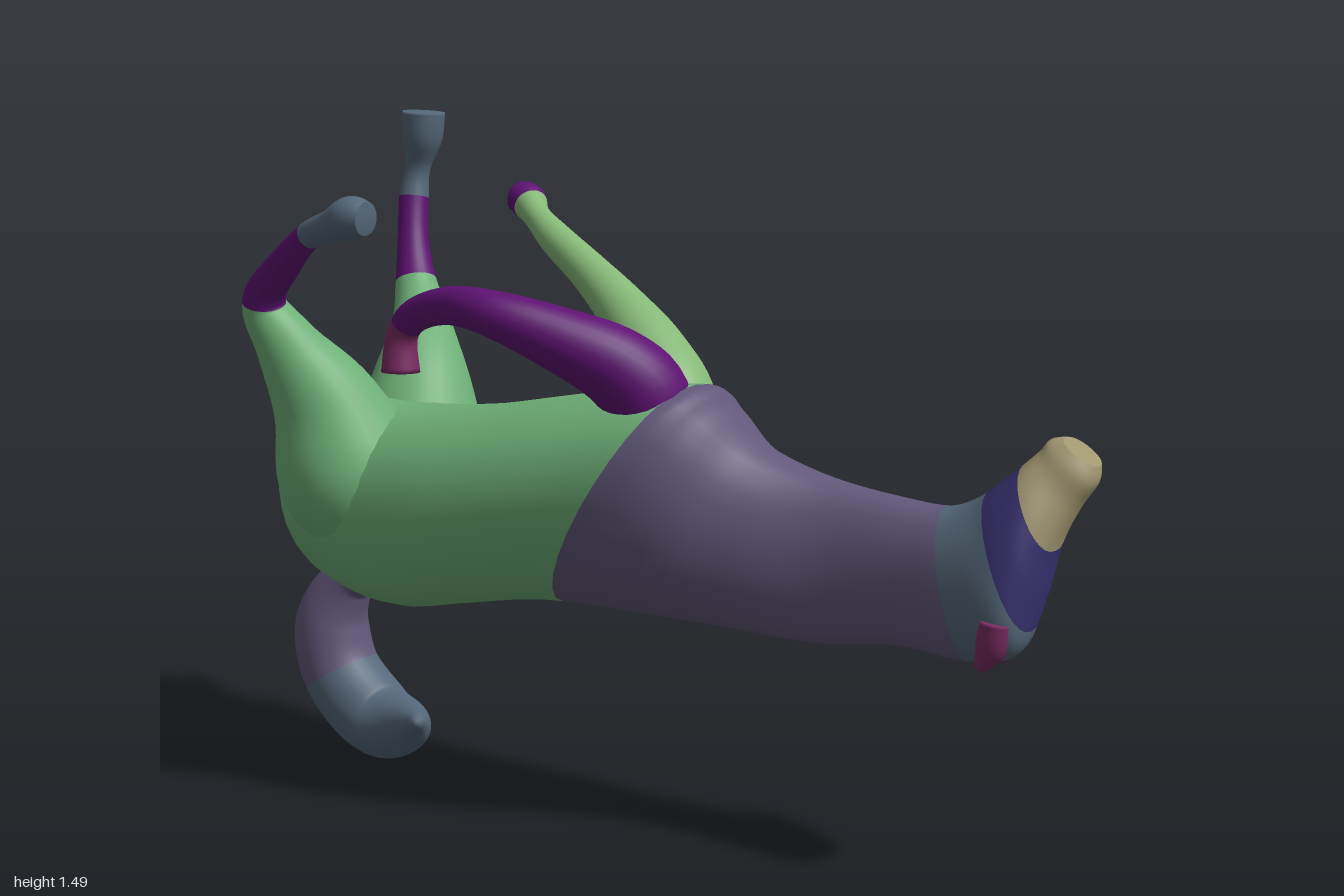
import * as THREE from 'three';

const GREEN = 0x6fb078, MOSS = 0x86b878, VIOLET = 0x62587a, PURPLE = 0x5e1272;
const SLATE = 0x55687a, TAN = 0xa09670, NAVY = 0x38306e, PLUM = 0x7a2c62;
const SIDES = 28, STEPS = 6;

// Catmull-Rom through rows of numbers, STEPS rows per span
function smooth(rows) {
  const out = [], n = rows.length - 1;
  for (let k = 0; k <= n * STEPS; k++) {
    const i = Math.min(Math.floor(k / STEPS), n - 1), t = k / STEPS - i;
    const a = rows[Math.max(i - 1, 0)], b = rows[i], c = rows[i + 1], d = rows[Math.min(i + 2, n)];
    out.push(b.map((v, j) => 0.5 * (2 * v + (c[j] - a[j]) * t
      + (2 * a[j] - 5 * v + 4 * c[j] - d[j]) * t * t
      + (3 * v - a[j] - 3 * c[j] + d[j]) * t * t * t)));
  }
  return out;
}

// Skin a list of rings and split it into named pieces: [name, colour, last span]
function skin(group, rings, pieces) {
  const pos = [], index = [], last = rings.length - 1;
  const centre = r => r.reduce((s, p) => s.add(p), new THREE.Vector3()).divideScalar(SIDES);
  for (const r of rings) for (const p of r) pos.push(p.x, p.y, p.z);
  for (const r of [rings[0], rings[last]]) { const c = centre(r); pos.push(c.x, c.y, c.z); }
  const tip = rings.length * SIDES;
  const next = j => (j + 1) % SIDES;
  for (let j = 0; j < SIDES; j++) index.push(tip, next(j), j);
  for (let i = 0; i < last; i++) for (let j = 0; j < SIDES; j++) {
    const a = i * SIDES + j, b = i * SIDES + next(j);
    index.push(a, b, a + SIDES, b, b + SIDES, a + SIDES);
  }
  for (let j = 0; j < SIDES; j++) index.push(tip + 1, last * SIDES + j, last * SIDES + next(j));
  const whole = new THREE.BufferGeometry();
  whole.setAttribute('position', new THREE.Float32BufferAttribute(pos, 3));
  whole.setIndex(index);
  whole.computeVertexNormals();
  let from = 0;
  pieces.forEach(([name, color, span], k) => {
    const to = k === pieces.length - 1 ? index.length : SIDES * (3 + 6 * Math.round(span * STEPS));
    const geometry = whole.clone().setIndex(index.slice(from, to));
    const mesh = new THREE.Mesh(geometry, new THREE.MeshStandardMaterial({ color }));
    mesh.name = name;
    group.add(mesh);
    from = to;
  });
}

// Round tube of varying radius along rows of [x, y, z, radius]
function limb(name, rows, pieces) {
  const group = new THREE.Group();
  group.name = name;
  const path = smooth(rows), pts = path.map(r => new THREE.Vector3(r[0], r[1], r[2]));
  let u = null, before = null;
  const rings = path.map((row, i) => {
    const d = pts[Math.min(i + 1, pts.length - 1)].clone().sub(pts[Math.max(i - 1, 0)]).normalize();
    if (!u) u = new THREE.Vector3(0, 0, 1).cross(d).normalize();
    else u.applyQuaternion(new THREE.Quaternion().setFromUnitVectors(before, d));
    before = d;
    const v = d.clone().cross(u);
    return Array.from({ length: SIDES }, (_, j) => {
      const a = j / SIDES * Math.PI * 2;
      return pts[i].clone().addScaledVector(u, row[3] * Math.cos(a)).addScaledVector(v, row[3] * Math.sin(a));
    });
  });
  skin(group, rings, pieces);
  return group;
}

// Slightly squared oval sections: [belly x, y, z, back x, y, z, half width]
function trunk(name, rows, pieces) {
  const group = new THREE.Group();
  group.name = name;
  const rings = smooth(rows).map(([xt, yt, zt, xb, yb, zb, w]) =>
    Array.from({ length: SIDES }, (_, j) => {
      const a = j / SIDES * Math.PI * 2, m = (1 + Math.cos(a)) / 2, s = Math.sin(a);
      const side = Math.sign(s) * Math.abs(s) ** 0.85;
      return new THREE.Vector3(xb + (xt - xb) * m, yb + (yt - yb) * m, zb + (zt - zb) * m + w * side);
    }));
  skin(group, rings, pieces);
  return group;
}

export function createModel() {
  const model = new THREE.Group();
  model.name = 'horseOnItsBack';

  // Body, neck and head in one continuous skin
  model.add(trunk('trunk', [
    [-0.905, 0.72, 0.01, -0.885, 0.6, 0.01, 0.06],
    [-0.87, 0.83, 0.01, -0.85, 0.5, 0.01, 0.165],
    [-0.78, 0.87, 0.01, -0.76, 0.435, 0, 0.22],
    [-0.6, 0.86, 0.01, -0.6, 0.405, 0, 0.245],
    [-0.38, 0.88, 0.03, -0.42, 0.435, 0.01, 0.25],
    [-0.1, 0.93, 0.04, -0.28, 0.46, 0.01, 0.24],
    [0.15, 0.965, 0.03, -0.16, 0.47, 0.01, 0.215],
    [0.21, 0.92, 0.01, 0.06, 0.465, 0, 0.185],
    [0.28, 0.84, -0.02, 0.24, 0.45, -0.03, 0.14],
    [0.42, 0.785, -0.05, 0.42, 0.44, -0.04, 0.1],
    [0.59, 0.76, -0.05, 0.6, 0.46, -0.04, 0.09],
    [0.69, 0.755, -0.05, 0.77, 0.455, -0.02, 0.095],
    [0.75, 0.775, -0.06, 0.88, 0.49, 0.01, 0.095],
    [0.8, 0.815, -0.08, 0.91, 0.59, -0.02, 0.1],
    [0.84, 0.85, -0.095, 0.925, 0.69, -0.05, 0.088],
    [0.87, 0.88, -0.105, 0.955, 0.77, -0.085, 0.066],
    [0.885, 0.9, -0.11, 0.985, 0.82, -0.1, 0.055],
    [0.915, 0.905, -0.11, 0.985, 0.855, -0.11, 0.04],
  ], [['body', GREEN, 6], ['neck', VIOLET, 11], ['cheeks', SLATE, 12.5], ['face', NAVY, 14], ['muzzle', TAN, 17]]));

  // Ears laid flat against the poll
  for (const side of [-1, 1]) {
    const z = 0.005 + side * 0.045;
    model.add(limb(side > 0 ? 'leftEar' : 'rightEar', [
      [0.85, 0.56, z, 0.035], [0.84, 0.505, z, 0.032], [0.815, 0.46, z, 0.012],
    ], [['ear', PLUM, 2]]));
  }

  // Hind legs: thigh, hock, fetlock, hoof
  const hind = [['thigh', GREEN, 4], ['cannon', PURPLE, 6], ['hoof', SLATE, 9]];
  model.add(limb('leftHindLeg', [
    [-0.64, 0.57, 0.06, 0.12], [-0.69, 0.71, 0.12, 0.165], [-0.73, 0.87, 0.165, 0.12],
    [-0.78, 1.0, 0.225, 0.072], [-0.815, 1.1, 0.26, 0.048], [-0.73, 1.19, 0.285, 0.036],
    [-0.64, 1.255, 0.31, 0.03], [-0.56, 1.28, 0.33, 0.036], [-0.5, 1.3, 0.34, 0.046],
    [-0.46, 1.3, 0.34, 0.035],
  ], hind));
  model.add(limb('rightHindLeg', [
    [-0.64, 0.57, -0.05, 0.12], [-0.69, 0.71, -0.11, 0.165], [-0.71, 0.87, -0.155, 0.12],
    [-0.76, 1.0, -0.225, 0.072], [-0.81, 1.1, -0.27, 0.048], [-0.84, 1.2, -0.3, 0.036],
    [-0.855, 1.29, -0.325, 0.035], [-0.85, 1.36, -0.335, 0.03], [-0.835, 1.43, -0.335, 0.047],
    [-0.83, 1.49, -0.335, 0.05],
  ], hind));

  // Forelegs: one folded, one stretched out
  model.add(limb('leftForeleg', [
    [0.04, 0.78, 0.05, 0.08], [0.06, 0.92, 0.075, 0.095], [0.02, 1.0, 0.125, 0.085],
    [-0.08, 1.065, 0.205, 0.066], [-0.2, 1.115, 0.27, 0.048], [-0.32, 1.12, 0.25, 0.04],
    [-0.43, 1.09, 0.22, 0.036], [-0.475, 1.04, 0.21, 0.034], [-0.48, 0.965, 0.21, 0.042],
  ], [['foreleg', PURPLE, 6.5], ['hoof', PLUM, 8]]));
  model.add(limb('rightForeleg', [
    [0.05, 0.78, -0.04, 0.08], [0.03, 0.9, -0.06, 0.1], [-0.04, 1.0, -0.095, 0.08],
    [-0.14, 1.085, -0.135, 0.058], [-0.25, 1.155, -0.175, 0.045], [-0.38, 1.22, -0.23, 0.038],
    [-0.46, 1.265, -0.27, 0.031], [-0.51, 1.295, -0.305, 0.042], [-0.545, 1.305, -0.31, 0.034],
  ], [['foreleg', MOSS, 6.7], ['hoof', PURPLE, 8]]));

  // Curled tail hanging beneath
  model.add(limb('tail', [
    [-0.7, 0.5, -0.04, 0.07], [-0.78, 0.45, -0.05, 0.045], [-0.86, 0.41, -0.06, 0.062],
    [-0.91, 0.31, -0.06, 0.086], [-0.885, 0.19, -0.06, 0.092], [-0.78, 0.095, -0.06, 0.09],
    [-0.67, 0.1, -0.02, 0.065], [-0.555, 0.15, 0.075, 0.014],
  ], [['tailRoot', PURPLE, 1], ['tail', VIOLET, 4], ['tailTip', SLATE, 7]]));

  return model;
}
